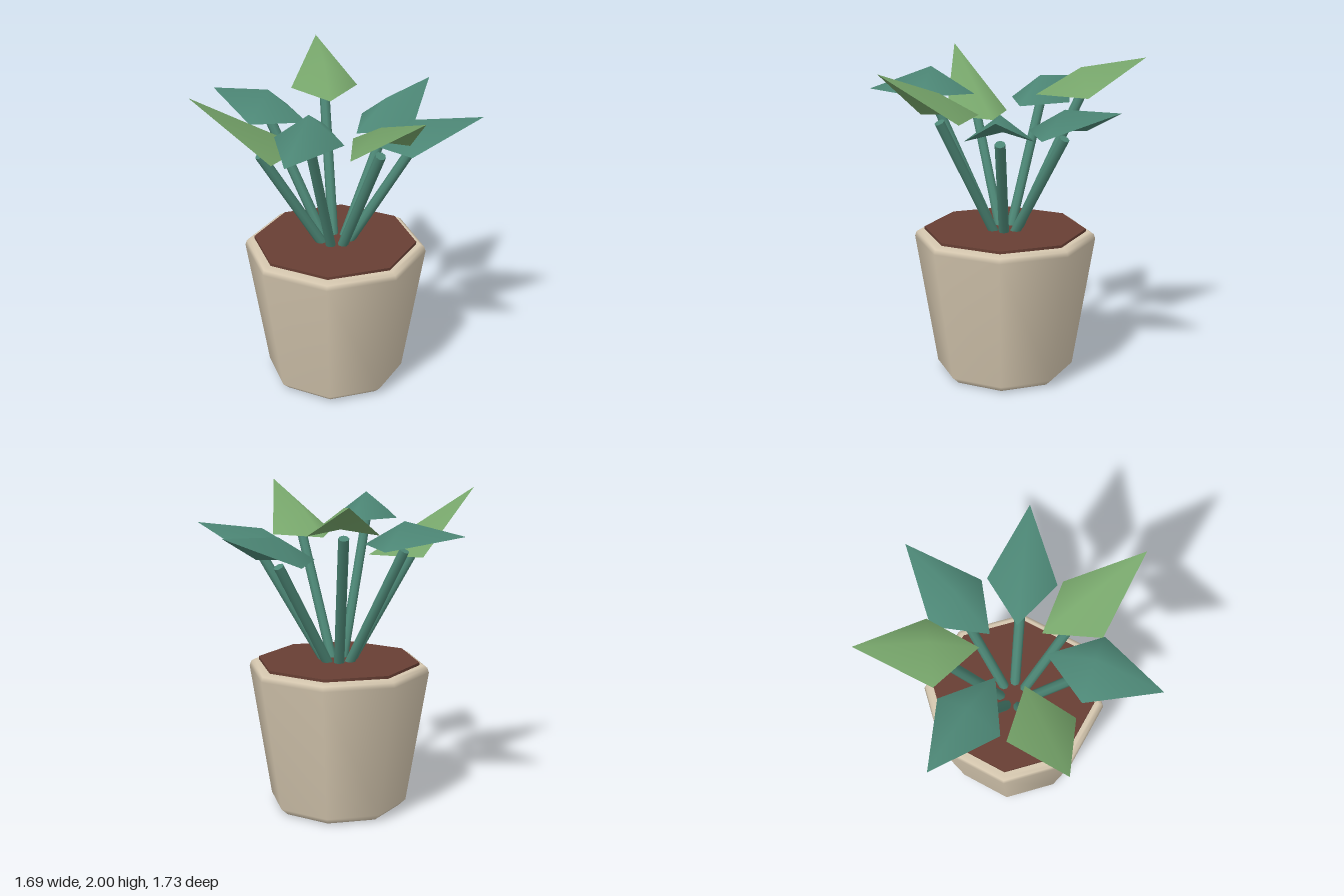
import * as THREE from 'three';

const material = (name, color, side = THREE.FrontSide) => {
  const m = new THREE.MeshStandardMaterial({ color, side });
  m.name = name;
  return m;
};

// Folded kite pointing along +x, with a raised middle and a free tip height
function leafGeometry(baseY, tipY) {
  const points = [
    0.195, baseY, 0, // inner corner
    0.475, baseY, 0.21,
    0.887, tipY, 0,
    0.475, baseY, -0.21,
    0.475, baseY + 0.16, 0, // raised middle
  ];
  const geometry = new THREE.BufferGeometry();
  geometry.setAttribute('position', new THREE.Float32BufferAttribute(points, 3));
  geometry.setIndex([0, 1, 4, 1, 2, 4, 2, 3, 4, 3, 0, 4]);
  geometry.computeVertexNormals();
  return geometry;
}

// Round stem between two points
function stemMesh(from, to, mat) {
  const along = to.clone().sub(from);
  const mesh = new THREE.Mesh(new THREE.CylinderGeometry(0.032, 0.032, along.length(), 8), mat);
  mesh.position.copy(from).add(to).multiplyScalar(0.5);
  mesh.quaternion.setFromUnitVectors(new THREE.Vector3(0, 1, 0), along.normalize());
  return mesh;
}

export function createModel() {
  const clay = material('clay', 0xd6c8b0);
  const earth = material('earth', 0x683f34);
  const teal = material('tealGreen', 0x4c8675);
  const tealLeaf = material('tealLeaf', 0x4c8675, THREE.DoubleSide);
  const lightLeaf = material('lightLeaf', 0x77a66b, THREE.DoubleSide);

  const model = new THREE.Group();
  model.name = 'pottedPlant';
  const plant = new THREE.Group();
  plant.name = 'plant';
  plant.position.x = -0.045;
  model.add(plant);

  // Eight-sided pot with bevelled foot and rim
  const profile = [[0, 0], [0.38, 0], [0.39, 0.003], [0.435, 0.045], [0.57, 0.885], [0.56, 0.915], [0.535, 0.93], [0, 0.93]];
  const pot = new THREE.Mesh(
    new THREE.LatheGeometry(profile.map(([r, y]) => new THREE.Vector2(r, y)), 8), clay);
  pot.name = 'pot';
  plant.add(pot);

  // Soil disc
  const soil = new THREE.Mesh(new THREE.CylinderGeometry(0.51, 0.51, 0.025, 8), earth);
  soil.name = 'soil';
  soil.position.y = 0.9345;
  plant.add(soil);

  // Seven stems with leaves: base height, tip height, leaf colour
  const leaves = [
    [1.6, 1.79, tealLeaf],
    [1.6, 1.79, tealLeaf],
    [1.79, 2, lightLeaf],
    [1.69, 1.79, tealLeaf],
    [1.6, 2, lightLeaf],
    [1.79, 1.79, tealLeaf],
    [1.69, 2, lightLeaf],
  ];
  leaves.forEach(([baseY, tipY, mat], i) => {
    const branch = new THREE.Group();
    branch.name = `branch${i + 1}`;
    branch.rotation.y = (i * Math.PI * 2) / leaves.length;
    const stem = stemMesh(
      new THREE.Vector3(0.07, 0.91, 0), new THREE.Vector3(0.475, baseY - 0.015, 0), teal);
    stem.name = 'stem';
    const leaf = new THREE.Mesh(leafGeometry(baseY, tipY), mat);
    leaf.name = 'leaf';
    branch.add(stem, leaf);
    plant.add(branch);
  });

  return model;
}
